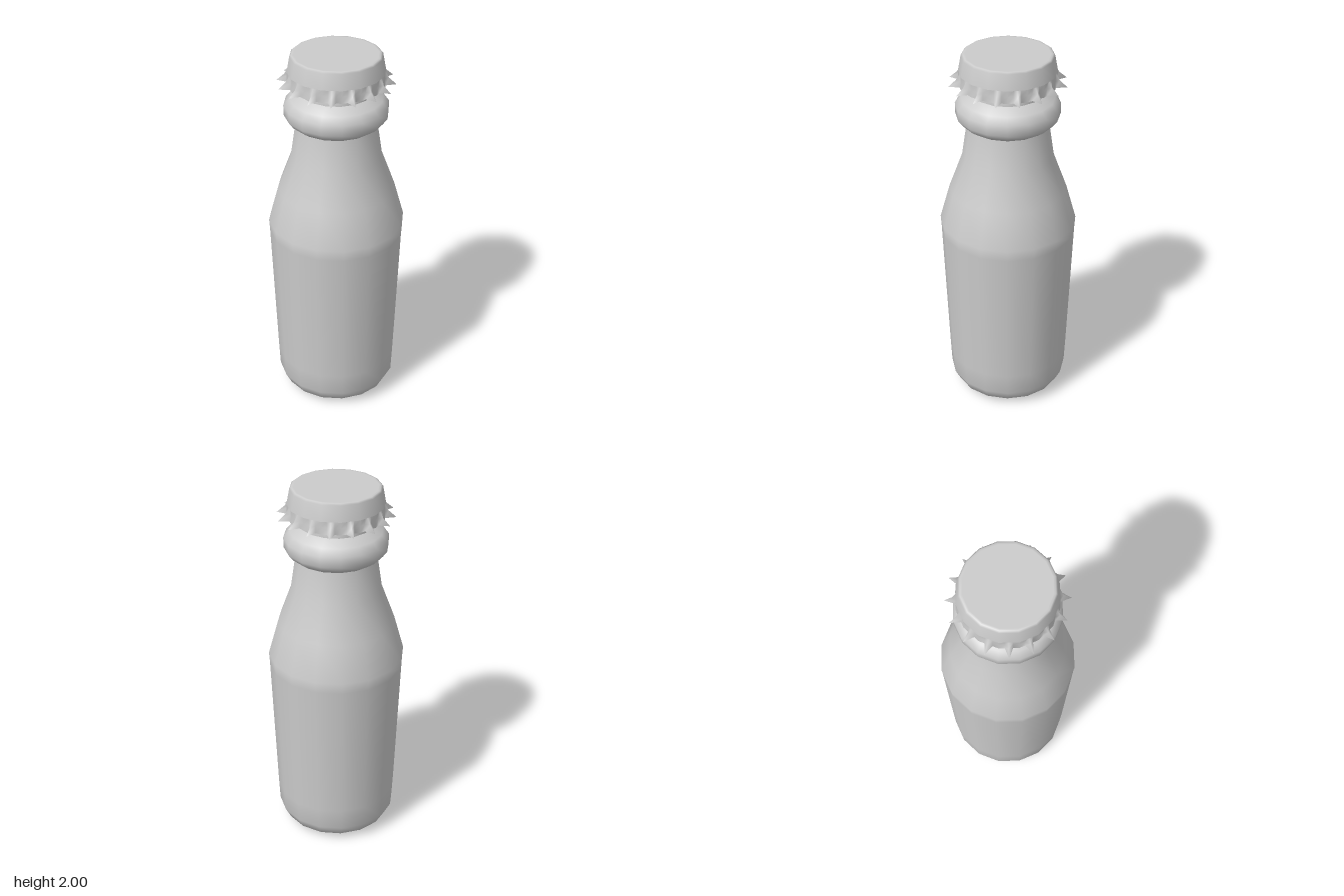
import * as THREE from 'three';

const SIDES = 16;
const STEP = (Math.PI * 2) / SIDES;

// Smooth 16-sided solid of revolution from [radius, height] pairs, bottom to top
function lathe(name, profile, material) {
  const points = profile.map(([r, y]) => new THREE.Vector2(r, y));
  const mesh = new THREE.Mesh(new THREE.LatheGeometry(points, SIDES), material);
  mesh.name = name;
  return mesh;
}

// Crimped skirt: follows the cap's polygon at the top, flares into 16 points below
function skirtGeometry() {
  const offsets = [0, 0.3, 0.5, 0.7]; // fraction of a step; the point sits at 0.5
  const rows = [
    { y: 1.91, valley: 0.25, tip: 0 },
    { y: 1.88, valley: 0.25, tip: 0.018 },
    { y: 1.845, valley: 0.253, tip: 0.055 },
  ];
  const columns = SIDES * offsets.length;
  const positions = [];
  const indices = [];
  rows.forEach(({ y, valley, tip }, row) => {
    for (let c = 0; c < columns; c++) {
      const f = offsets[c % 4];
      const a = (Math.floor(c / 4) + f) * STEP;
      const flat = Math.cos(STEP / 2) / Math.cos((f - 0.5) * STEP);
      const r = valley * flat + (f === 0.5 ? tip : 0);
      positions.push(r * Math.sin(a), y, r * Math.cos(a));
      if (row < rows.length - 1) {
        const p = row * columns + c;
        const q = row * columns + ((c + 1) % columns);
        indices.push(p, p + columns, q, q, p + columns, q + columns);
      }
    }
  });
  const geometry = new THREE.BufferGeometry();
  geometry.setAttribute('position', new THREE.Float32BufferAttribute(positions, 3));
  geometry.setIndex(indices);
  geometry.computeVertexNormals();
  return geometry;
}

export function createModel() {
  const model = new THREE.Group();
  model.name = 'bottle';
  const grey = new THREE.MeshStandardMaterial({ color: 0xcccccc });
  const thin = new THREE.MeshStandardMaterial({ color: 0xcccccc, side: THREE.DoubleSide });

  // Body with rounded base, tapering shoulder and neck
  model.add(lathe('body', [
    [0, 0], [0.24, 0], [0.29, 0.04], [0.321, 0.1], [0.327, 0.22],
    [0.357, 1.0], [0.361, 1.06], [0.308, 1.25], [0.238, 1.44], [0.21, 1.63],
  ], grey));

  // Bead around the mouth
  model.add(lathe('neckBead', [
    [0.2, 1.622], [0.215, 1.622], [0.247, 1.645], [0.269, 1.675],
    [0.27, 1.73], [0.24, 1.765], [0.188, 1.797],
  ], grey));

  // Mouth rim running up inside the cap
  model.add(lathe('mouth', [[0.188, 1.78], [0.188, 1.95], [0, 1.95]], grey));

  // Cap
  const cap = new THREE.Group();
  cap.name = 'cap';
  cap.add(lathe('capTop', [[0.25, 1.91], [0.235, 1.992], [0.226, 2], [0.215, 2], [0, 2]], thin));
  const skirt = new THREE.Mesh(skirtGeometry(), thin);
  skirt.name = 'capSkirt';
  cap.add(skirt);
  model.add(cap);

  return model;
}
